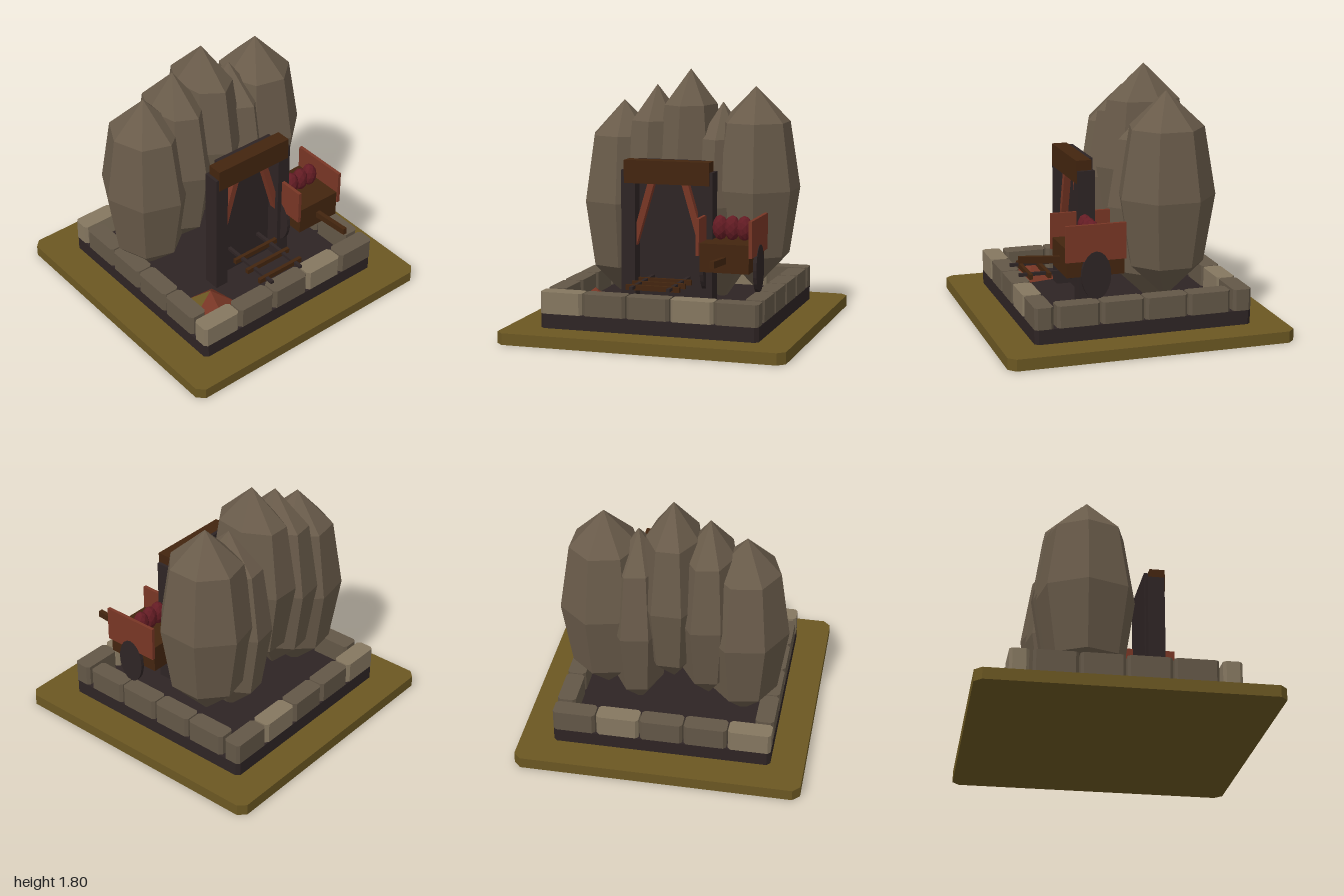
import * as THREE from 'three';

const mat = (name, color, side = THREE.FrontSide) => {
  const m = new THREE.MeshStandardMaterial({ color, side, flatShading: true });
  m.name = name;
  return m;
};

export function createModel() {
  const M = {
    grass: mat('olive ground', 0x6b5722),
    dark: mat('dark timber', 0x2e2424),
    stone: mat('stone', 0x635747),
    paleStone: mat('pale stone', 0x857760),
    rock: mat('rock', 0x695b4a),
    wood: mat('brown wood', 0x43250f),
    red: mat('red wood', 0x783625),
    ore: mat('red ore', 0x641c24),
  };
  const model = new THREE.Group();

  const add = (name, geo, material, x, y, z, parent = model) => {
    const mesh = new THREE.Mesh(geo, material);
    mesh.name = name;
    mesh.position.set(x, y, z);
    parent.add(mesh);
    return mesh;
  };
  // box given by its extents on each axis
  const box = (name, material, [x0, x1], [y0, y1], [z0, z1], parent) =>
    add(name, new THREE.BoxGeometry(x1 - x0, y1 - y0, z1 - z0), material,
      (x0 + x1) / 2, (y0 + y1) / 2, (z0 + z1) / 2, parent);
  // slab with its four upright edges cut off, standing on y = 0
  const slab = (w, h, d, c) => {
    const a = w / 2, b = d / 2;
    const pts = [[a - c, -b], [a, -b + c], [a, b - c], [a - c, b], [-a + c, b], [-a, b - c], [-a, -b + c], [-a + c, -b]];
    const shape = new THREE.Shape(pts.map(p => new THREE.Vector2(...p)));
    return new THREE.ExtrudeGeometry(shape, { depth: h, bevelEnabled: false }).rotateX(-Math.PI / 2);
  };
  const group = name => {
    const g = new THREE.Group();
    g.name = name;
    model.add(g);
    return g;
  };

  // ground and plinth
  add('ground', slab(2, 0.08, 2, 0.05), M.grass, 0, 0, 0);
  add('plinth', slab(1.53, 0.1, 1.53, 0.025), M.dark, 0, 0.08, 0);

  // low wall of separate blocks
  const wall = group('stoneWall');
  for (const s of [-1, 1]) {
    for (let i = 0; i < 5; i++) {
      add('wallBlock', slab(0.298, 0.15, 0.13, 0.02), i % 3 ? M.stone : M.paleStone,
        -0.616 + i * 0.308, 0.18, s * 0.7, wall);
    }
    for (let i = 0; i < 4; i++) {
      add('wallBlock', slab(0.13, 0.15, 0.298, 0.02), M.stone, s * 0.7, 0.18, -0.463 + i * 0.308, wall);
    }
  }

  // tall faceted rocks: x, middle height, half width, turn
  const rocks = group('rocks');
  for (const [x, y, rx, turn] of [
    [-0.5, 0.85, 0.31, 0.15], [-0.25, 0.965, 0.235, 0.1], [0, 1.08, 0.24, 0],
    [0.24, 0.85, 0.22, 0.1], [0.48, 0.965, 0.32, 0.22],
  ]) {
    const profile = [[0, -0.72], [0.77, -0.47], [1, 0], [0.77, 0.47], [0, 0.72]];
    const geo = new THREE.LatheGeometry(profile.map(p => new THREE.Vector2(...p)), 7);
    geo.rotateY(turn).scale(rx, 1, 0.345);
    add('rock', geo, M.rock, x, y, -0.235, rocks);
  }

  // mine entrance
  const gate = group('mineEntrance');
  box('darkOpening', M.dark, [-0.24, 0.24], [0.18, 1.2], [0.21, 0.237], gate);
  box('lintel', M.wood, [-0.306, 0.306], [1.04, 1.2], [0.237, 0.345], gate);
  for (const s of [-1, 1]) {
    box('post', M.dark, [s * 0.278 - 0.05, s * 0.278 + 0.05], [0.18, 1.13], [0.22, 0.338], gate);
    const brace = add('brace', new THREE.BoxGeometry(0.045, 0.5, 0.05), M.red, s * 0.178, 0.85, 0.285, gate);
    brace.rotation.z = -s * -0.285;
  }

  // track
  const track = group('track');
  for (const x of [-0.13, 0.13]) box('rail', M.dark, [x - 0.012, x + 0.012], [0.368, 0.39], [0.19, 0.71], track);
  for (const z of [0.37, 0.505, 0.637]) box('sleeper', M.wood, [-0.19, 0.19], [0.356, 0.392], [z - 0.013, z + 0.013], track);

  // cart
  const cart = group('cart');
  box('cartBody', M.wood, [0.29, 0.632], [0.48, 0.675], [0.105, 0.51], cart);
  for (const x of [0.275, 0.644]) {
    box('sidePanel', M.red, [x - 0.012, x + 0.012], [0.59, 0.84], [0.1, 0.52], cart);
    const wheel = new THREE.CylinderGeometry(1, 1, 0.026, 20).rotateZ(Math.PI / 2).scale(1, 0.165, 0.103);
    add('wheel', wheel, M.dark, x + (x > 0.4 ? 0.003 : -0.003), 0.49, 0.31, cart);
  }
  const handle = add('handle', new THREE.BoxGeometry(0.032, 0.046, 0.31), M.wood, 0.459, 0.575, 0.64, cart);
  handle.rotation.x = -0.07;
  [0.376, 0.461, 0.546].forEach((x, i) => {
    const lump = new THREE.IcosahedronGeometry(1, 1).rotateY(i * 0.5).scale(0.056, 0.087, 0.055);
    add('oreLump', lump, M.ore, x, 0.757, 0.305, cart);
  });

  // five-sided heap with one grassy face
  const heap = new THREE.ConeGeometry(0.18, 0.14, 5, 1, true).toNonIndexed();
  heap.clearGroups();
  const faces = heap.attributes.position.count / 5;
  for (let i = 0; i < 5; i++) heap.addGroup(i * faces, faces, i === 3 ? 1 : 0);
  const heapMesh = add('heap', heap, [M.red, M.grass], -0.477, 0.25, 0.455);
  heapMesh.rotation.y = -0.1;

  return model;
}
